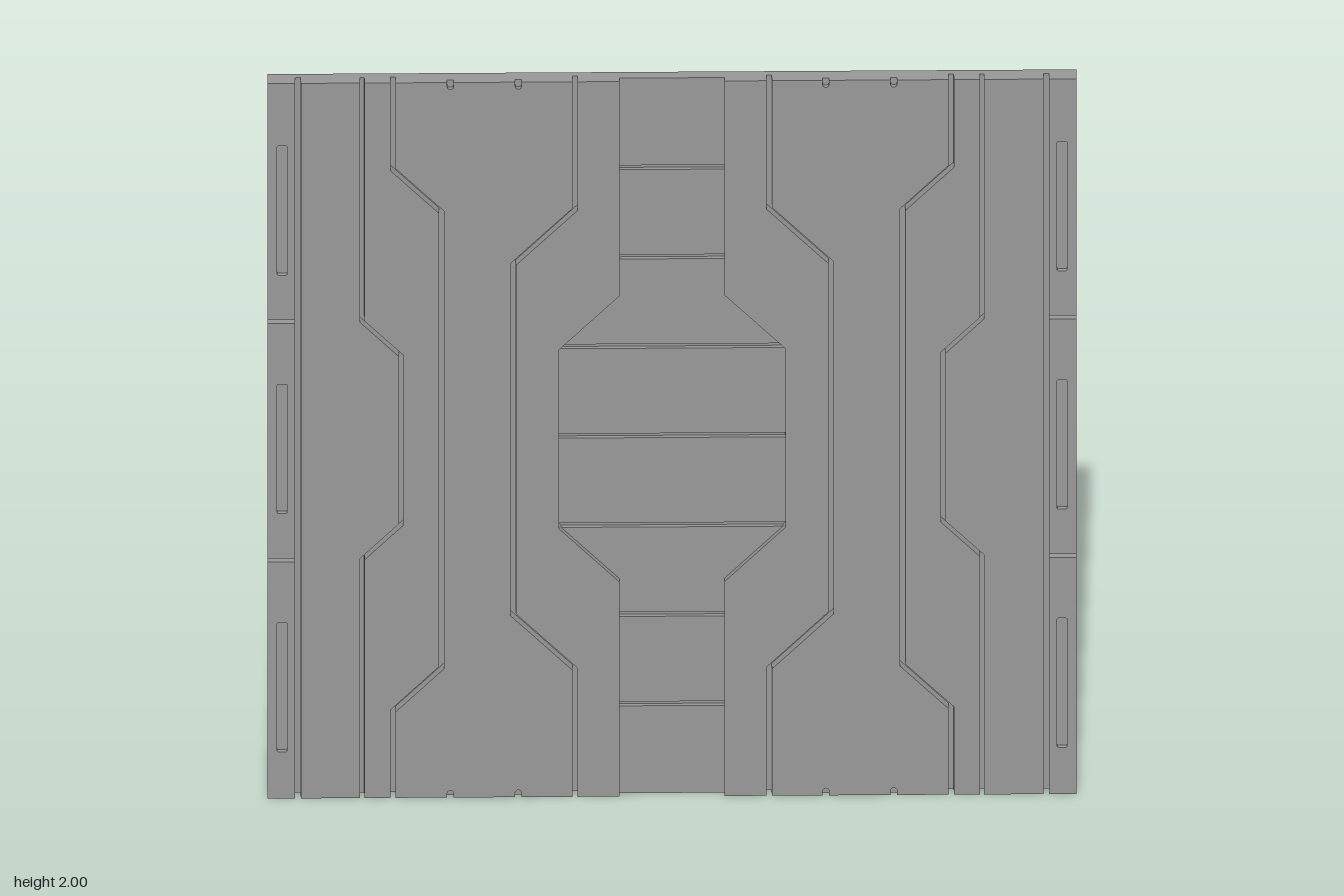
import * as THREE from 'three';

const BACK = -0.025, FLOOR = -0.005, FRONT = 0.025;
const HALF_GROOVE = 0.0065;

export function createModel() {
  const group = new THREE.Group();
  const grey = new THREE.MeshStandardMaterial({ color: 0x999999 });
  grey.name = 'panel grey';

  const box = (name, x0, x1, y0, y1, z0, z1) => {
    const m = new THREE.Mesh(new THREE.BoxGeometry(x1 - x0, y1 - y0, z1 - z0), grey);
    m.position.set((x0 + x1) / 2, (y0 + y1) / 2, (z0 + z1) / 2);
    m.name = name;
    group.add(m);
  };
  const plate = (name, shape, z0, z1) => {
    const geo = new THREE.ExtrudeGeometry(shape, { depth: z1 - z0, bevelEnabled: false, curveSegments: 5 });
    geo.translate(0, 0, z0);
    const m = new THREE.Mesh(geo, grey);
    m.name = name;
    group.add(m);
  };
  const toShape = (pts) => new THREE.Shape(pts.map(([x, y]) => new THREE.Vector2(x, y)));

  // Edge line from bottom to top: x0 at the ends, x1 in the middle, moved sideways by d
  const edge = (x0, x1, yOuter, yInner, d = 0) => {
    const k = d * (Math.SQRT2 - 1) * Math.sign(x1 - x0);
    const a = yOuter + k, b = yInner + k;
    return [[x0 + d, 0], [x0 + d, 2 - a], [x1 + d, 2 - b], [x1 + d, b], [x0 + d, a], [x0 + d, 2]];
  };
  const h = HALF_GROOVE;
  const recess = [0.13, 0.28, 1.4, 1.25];
  const inner = [0.24, 0.393, 1.643, 1.49];
  const middle = [0.69, 0.57, 1.757, 1.637];
  const outer = [0.766, 0.67, 1.332, 1.236];

  // Small rounded notch cut into the top (s = 1) or bottom (s = -1) border
  const notch = (x, s) => {
    const r = 0.008, y = s > 0 ? 2 : 0, pts = [];
    pts.push([x - r, y]);
    for (let i = 0; i <= 6; i++) {
      const t = Math.PI * i / 6;
      pts.push([x - r * Math.cos(t), y - s * (0.012 + r * Math.sin(t))]);
    }
    pts.push([x + r, y]);
    return pts;
  };

  // Back slab
  box('backSlab', -1, 1, 0, 2, BACK, FLOOR);

  // Raised plates on each side, separated by grooves
  for (const side of [1, -1]) {
    const tag = side > 0 ? 'left' : 'right';
    const flip = (pts) => toShape(pts.map(([x, y]) => [x * side, y]));
    const between = (a, b) => [...a, ...b.slice().reverse()];

    plate(tag + 'InnerPlate', flip(between(edge(...recess), edge(...inner, -h))), FLOOR, FRONT);
    plate(tag + 'WidePlate', flip([
      ...edge(...inner, h), ...notch(0.38, 1), ...notch(0.548, 1),
      ...edge(...middle, -h).reverse(),
      ...notch(0.548, -1).reverse(), ...notch(0.38, -1).reverse(),
    ]), FLOOR, FRONT);
    plate(tag + 'NarrowPlate', flip(between(edge(...middle, h), edge(...outer, -h * 0.8))), FLOOR, FRONT);
    plate(tag + 'OuterPlate', flip([...edge(...outer, h * 0.8), [0.918, 2], [0.918, 0]]), FLOOR, FRONT);

    // Notch floors
    for (const x of [0.38, 0.548]) {
      for (const y of [0, 1.979]) {
        box(tag + 'NotchFloor', side * x - 0.009, side * x + 0.009, y, y + 0.021, FLOOR, 0.012);
      }
    }

    // Border strip in three lengths, each with a rounded slot
    for (let i = 0; i < 3; i++) {
      const y0 = i * 2 / 3 + (i > 0 ? 0.005 : 0);
      const y1 = (i + 1) * 2 / 3 - (i < 2 ? 0.005 : 0);
      const strip = flip([[0.932, y0], [1, y0], [1, y1], [0.932, y1]]);
      const cx = side * 0.964, w = 0.0125, r = 0.005;
      const b = i * 2 / 3 + 0.13, t = b + 0.362;
      const slot = new THREE.Path();
      slot.moveTo(cx - w + r, b);
      slot.lineTo(cx + w - r, b);
      slot.quadraticCurveTo(cx + w, b, cx + w, b + r);
      slot.lineTo(cx + w, t - r);
      slot.quadraticCurveTo(cx + w, t, cx + w - r, t);
      slot.lineTo(cx - w + r, t);
      slot.quadraticCurveTo(cx - w, t, cx - w, t - r);
      slot.lineTo(cx - w, b + r);
      slot.quadraticCurveTo(cx - w, b, cx - w + r, b);
      strip.holes.push(slot);
      plate(tag + 'BorderStrip', strip, FLOOR, FRONT);
      box(tag + 'SlotFloor', cx - w - 0.001, cx + w + 0.001, b - 0.001, t + 0.001, FLOOR, 0.012);
    }
  }

  // Sunken centre channel, tiled with cross grooves every quarter unit
  const halfWidth = (y) => THREE.MathUtils.clamp(0.28 - (Math.abs(y - 1) - 0.25), 0.13, 0.28);
  for (let i = 0; i < 8; i++) {
    const y0 = i * 0.25 + (i > 0 ? 0.006 : 0);
    const y1 = (i + 1) * 0.25 - (i < 7 ? 0.006 : 0);
    const ys = [y0, ...[0.6, 1.4].filter((y) => y > y0 && y < y1), y1];
    const right = ys.map((y) => [halfWidth(y), y]);
    const left = ys.map((y) => [-halfWidth(y), y]).reverse();
    plate('channelTile', toShape([...right, ...left]), FLOOR, 0.007);
  }

  return group;
}
